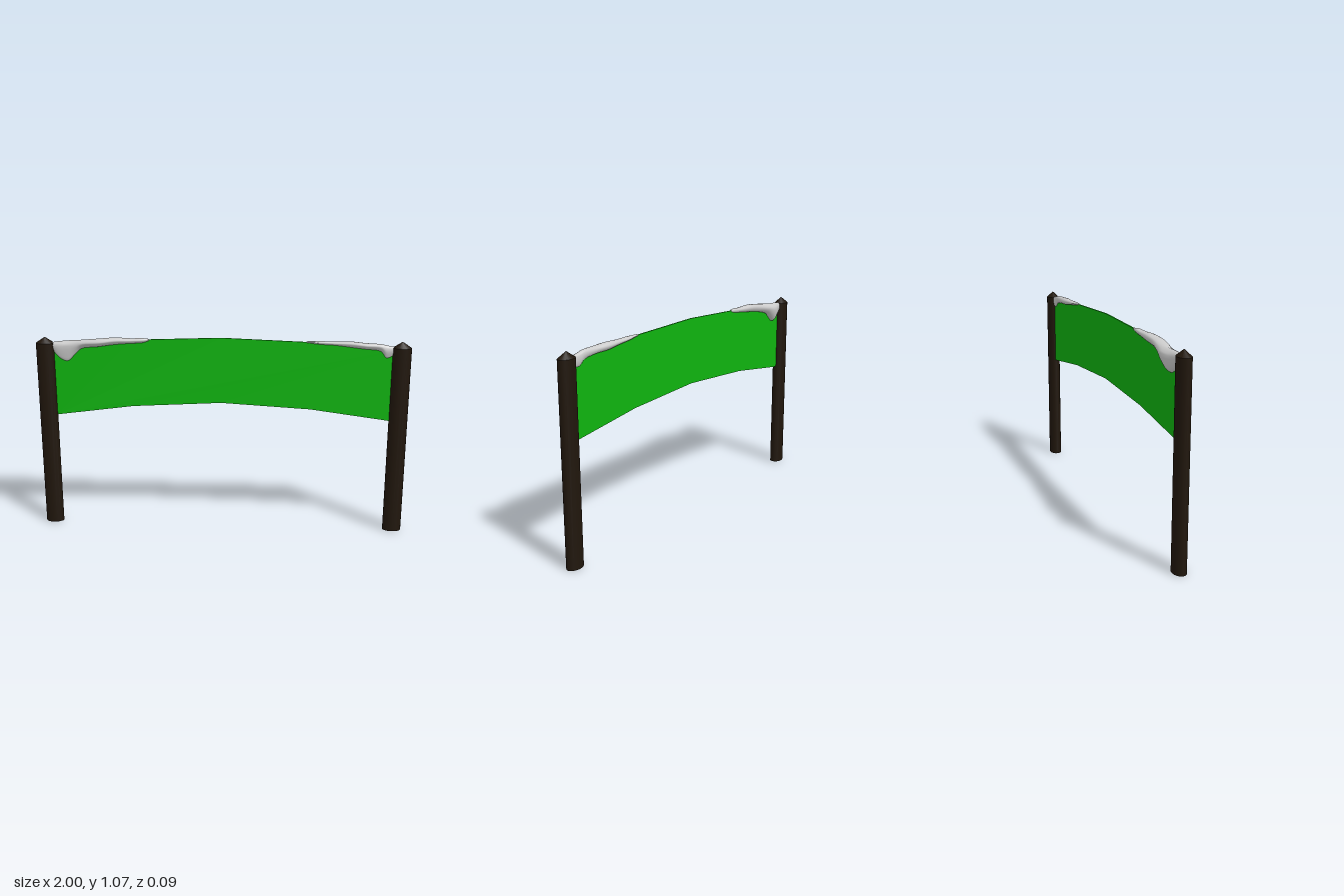
import * as THREE from 'three';

const wood = new THREE.MeshStandardMaterial({ color: 0x20160c });
const cloth = new THREE.MeshStandardMaterial({ color: 0x0fb40f });
const snow = new THREE.MeshStandardMaterial({ color: 0xcccccc });

function part(name, geometry, material) {
  const mesh = new THREE.Mesh(geometry, material);
  mesh.name = name;
  return mesh;
}

// Oval post with a blunt pointed top
function post(name, x) {
  const group = new THREE.Group();
  group.name = name;
  const shaft = part('shaft', new THREE.CylinderGeometry(0.05, 0.05, 1.025, 16), wood);
  shaft.position.y = 0.5125;
  const tip = part('tip', new THREE.ConeGeometry(0.05, 0.033, 16, 1, true), wood);
  tip.position.y = 1.0415;
  group.add(shaft, tip);
  group.scale.z = 0.7;
  group.position.x = x;
  return group;
}

// Thin banner arched in four straight segments
function bannerGeometry() {
  const lower = [[-0.905, 0.627], [-0.48, 0.683], [0, 0.71], [0.48, 0.683], [0.905, 0.627]];
  const upper = [[0.905, 1.01], [0.48, 1.048], [0, 1.065], [-0.48, 1.048], [-0.905, 1.01]];
  const shape = new THREE.Shape([...lower, ...upper].map(([x, y]) => new THREE.Vector2(x, y)));
  return new THREE.ExtrudeGeometry(shape, { depth: 0.008, bevelEnabled: false }).translate(0, 0, -0.004);
}

// Draped snow lofted through stations: [x, zBack, zFront, top, bottomFront, bottomBack]
function snowGeometry(stations, around = 20, along = 48) {
  const loops = stations.map(([x, zb, zf, top, bf, bb]) => {
    const profile = [
      [top, (zb + zf) / 2],
      [top - (top - bf) * 0.12, zf * 0.75],
      [top - Math.min((top - bf) * 0.45, 0.03), zf],
      [bf + (top - bf) * 0.2, zf * 0.65],
      [bf, zf * 0.3],
      [bb, zb * 0.3],
      [bb + (top - bb) * 0.2, zb * 0.75],
      [top - Math.min((top - bb) * 0.45, 0.03), zb],
      [top - (top - bb) * 0.12, zb * 0.75],
    ].map(([y, z]) => new THREE.Vector3(x, y, z));
    const curve = new THREE.CatmullRomCurve3(profile, true);
    return Array.from({ length: around }, (_, j) => curve.getPoint(j / around));
  });
  const positions = [], index = [];
  const rails = loops[0].map((_, j) => new THREE.CatmullRomCurve3(loops.map((l) => l[j])));
  for (let i = 0; i <= along; i++)
    for (const rail of rails) positions.push(...rail.getPoint(i / along).toArray());
  for (let i = 0; i < along; i++)
    for (let j = 0; j < around; j++) {
      const a = i * around + j, b = i * around + (j + 1) % around;
      index.push(a, b, a + around, b, b + around, a + around);
    }
  // End caps
  const last = along * around;
  for (let j = 1; j < around - 1; j++) {
    index.push(0, j + 1, j);
    index.push(last, last + j, last + j + 1);
  }
  const geometry = new THREE.BufferGeometry();
  geometry.setAttribute('position', new THREE.Float32BufferAttribute(positions, 3));
  geometry.setIndex(index);
  geometry.computeVertexNormals();
  return geometry;
}

export function createModel() {
  const model = new THREE.Group();
  model.name = 'snowyBanner';
  model.add(post('rightPost', -0.95), post('leftPost', 0.95));
  model.add(part('banner', bannerGeometry(), cloth));

  // Heavy drift with a hanging drip beside the right post
  const rightDrift = snowGeometry([
    [-0.91, -0.016, 0.014, 1.03, 0.99, 0.98],
    [-0.87, -0.028, 0.018, 1.035, 0.945, 0.945],
    [-0.83, -0.042, 0.02, 1.038, 0.93, 0.93],
    [-0.79, -0.047, 0.022, 1.04, 0.965, 0.955],
    [-0.75, -0.04, 0.027, 1.043, 1.003, 0.985],
    [-0.65, -0.022, 0.042, 1.053, 1.012, 1.01],
    [-0.57, -0.022, 0.032, 1.059, 1.024, 1.02],
    [-0.48, -0.015, 0.025, 1.056, 1.03, 1.03],
    [-0.42, -0.011, 0.02, 1.058, 1.034, 1.036],
    [-0.385, -0.005, 0.006, 1.054, 1.044, 1.044],
  ]);
  // Lighter drift beside the left post
  const leftDrift = snowGeometry([
    [0.45, -0.007, 0.006, 1.053, 1.045, 1.044],
    [0.52, -0.02, 0.011, 1.054, 1.038, 1.035],
    [0.6, -0.022, 0.012, 1.052, 1.034, 1.026],
    [0.68, -0.029, 0.016, 1.054, 1.026, 1.016],
    [0.76, -0.02, 0.024, 1.048, 1.018, 1.012],
    [0.84, -0.015, 0.02, 1.044, 1.008, 0.998],
    [0.87, -0.015, 0.017, 1.038, 0.972, 0.975],
    [0.91, -0.011, 0.012, 1.03, 0.988, 0.975],
  ]);
  model.add(part('rightSnow', rightDrift, snow), part('leftSnow', leftDrift, snow));
  return model;
}
